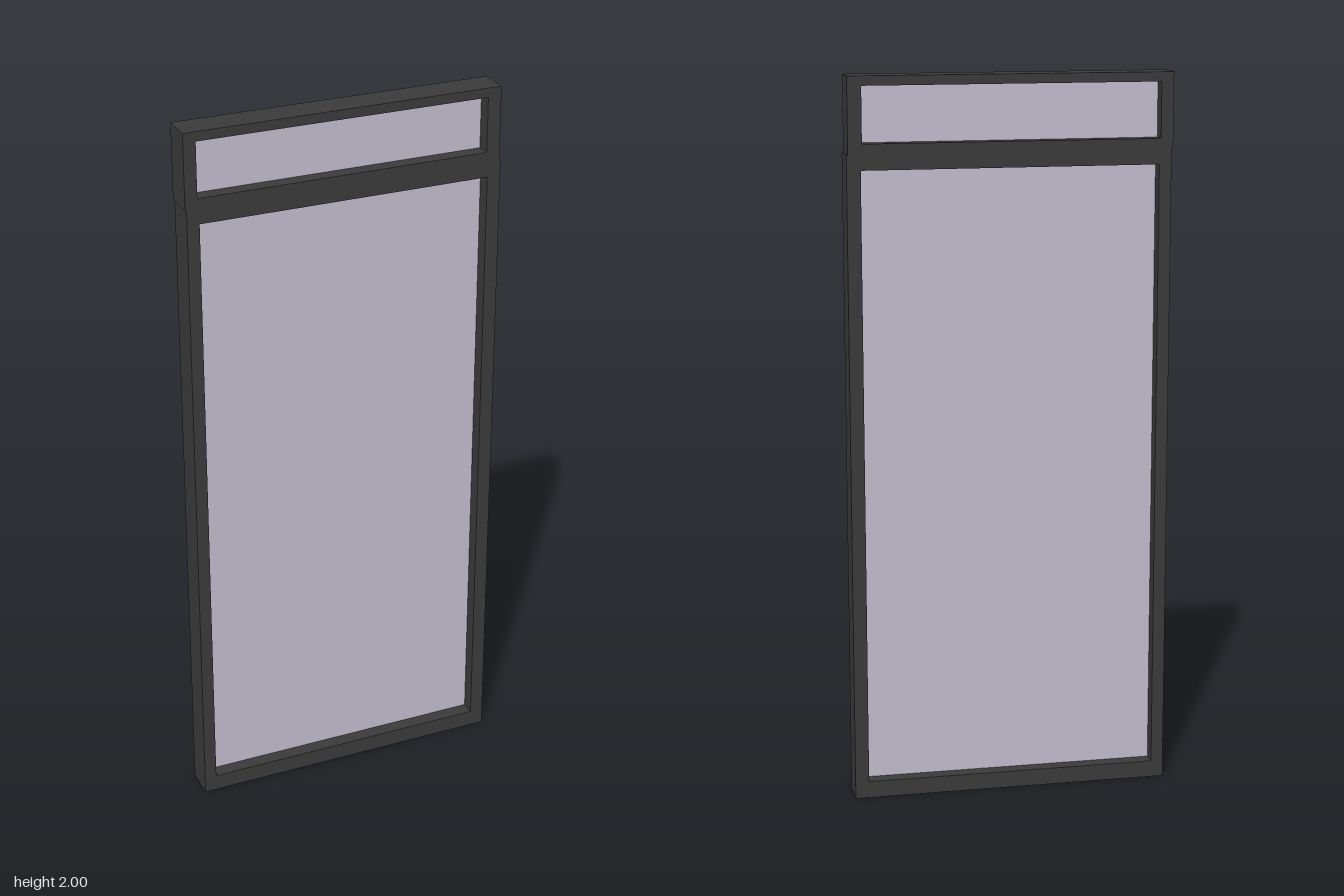
import * as THREE from 'three';

const DEPTH = 0.088;
const frameMaterial = new THREE.MeshStandardMaterial({ color: 0x3a3a3a });
const glassMaterial = new THREE.MeshStandardMaterial({ color: 0xc0bbca });

// Rectangle outline from two corners
function rect(Type, x0, y0, x1, y1) {
  return new Type([
    new THREE.Vector2(x0, y0), new THREE.Vector2(x1, y0),
    new THREE.Vector2(x1, y1), new THREE.Vector2(x0, y1),
  ]);
}

// A frame with one opening, glazed at mid depth
function glazedFrame(name, outer, inner) {
  const group = new THREE.Group();
  group.name = name;

  const shape = rect(THREE.Shape, ...outer);
  shape.holes.push(rect(THREE.Path, ...inner));
  const frameGeometry = new THREE.ExtrudeGeometry(shape, { depth: DEPTH, bevelEnabled: false });
  frameGeometry.translate(0, 0, -DEPTH / 2);
  const frame = new THREE.Mesh(frameGeometry, frameMaterial);
  frame.name = name + 'Frame';

  const [x0, y0, x1, y1] = inner;
  const glass = new THREE.Mesh(new THREE.BoxGeometry(x1 - x0, y1 - y0, 0.008), glassMaterial);
  glass.position.set((x0 + x1) / 2, (y0 + y1) / 2, 0);
  glass.name = name + 'Glass';

  group.add(frame, glass);
  return group;
}

export function createModel() {
  const model = new THREE.Group();
  model.name = 'window';

  // Tall main pane, and a shallow transom set slightly to one side above it
  model.add(
    glazedFrame('mainPane', [-0.441, 0, 0.445, 1.793], [-0.407, 0.047, 0.407, 1.752]),
    glazedFrame('transom', [-0.445, 1.793, 0.441, 2], [-0.411, 1.822, 0.403, 1.974]),
  );
  return model;
}
